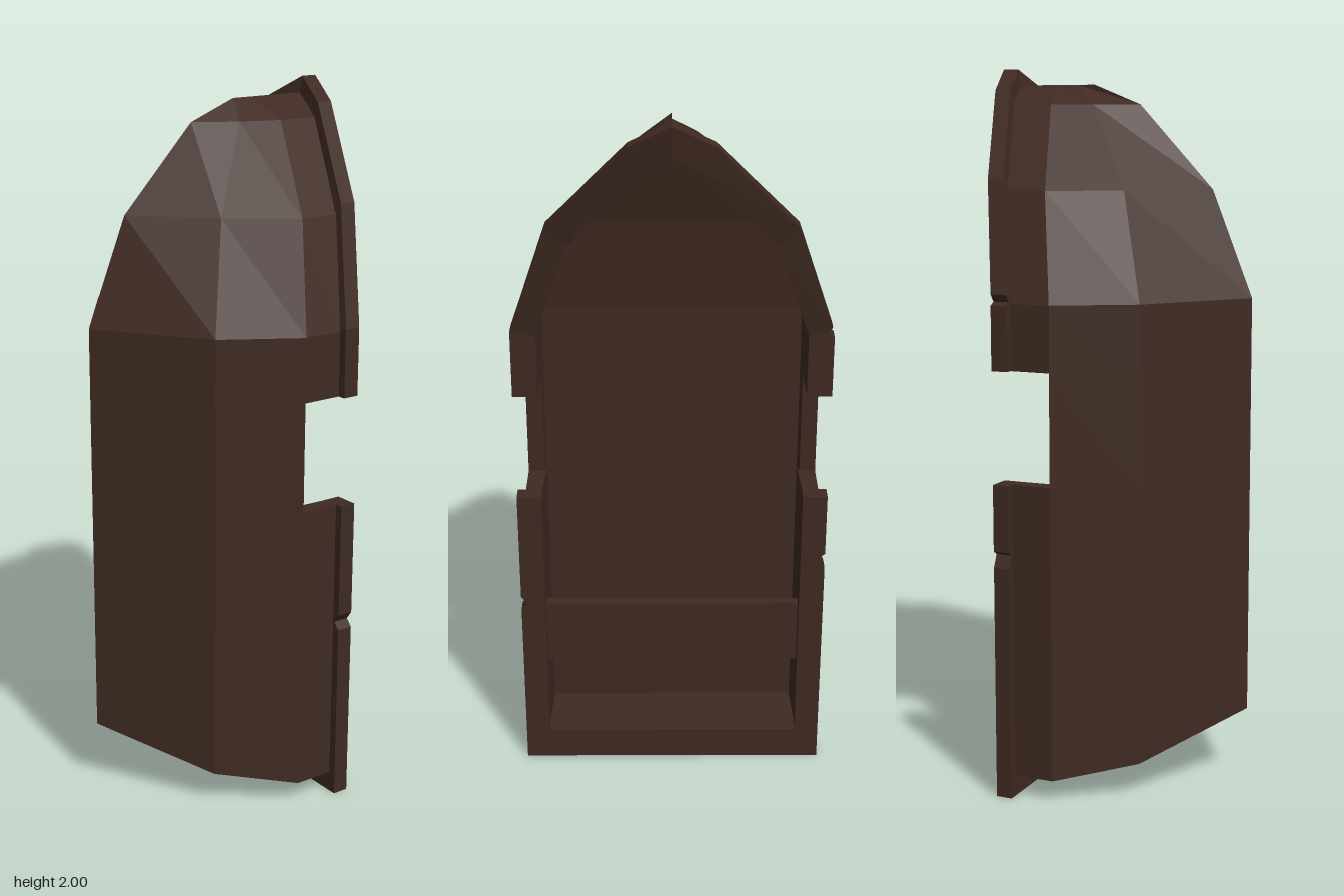
import * as THREE from 'three';

const wood = new THREE.MeshStandardMaterial({ color: 0x3f2a22, flatShading: true, side: THREE.DoubleSide });

// Collects quads (or degenerate quads) into a flat-shaded mesh
function quadMesh(name, quads) {
  const pos = [];
  for (const [a, b, c, d] of quads) pos.push(...a, ...b, ...c, ...a, ...c, ...d);
  const g = new THREE.BufferGeometry();
  g.setAttribute('position', new THREE.Float32BufferAttribute(pos, 3));
  g.computeVertexNormals();
  const m = new THREE.Mesh(g, wood);
  m.name = name;
  return m;
}

// Joins consecutive closed rings with quads
function loft(rings) {
  const quads = [];
  for (let j = 0; j < rings.length - 1; j++) {
    const r = rings[j], s = rings[j + 1], n = r.length;
    for (let i = 0; i < n; i++) {
      const k = (i + 1) % n;
      quads.push([r[i], s[i], s[k], r[k]]);
    }
  }
  return quads;
}

const mirror = ([x, y, z]) => [-x, y, z];

// Half section: gunwale, side, chine, keel on the outside; inner gunwale, floor edge inside
function section(gun, side, chine, keel, innerGun, floor) {
  return [gun, side, chine, keel, mirror(chine), mirror(side), mirror(gun),
    mirror(innerGun), mirror(floor), floor, innerGun];
}

// Straight part of the hull; gz is the height of the side wall
const straight = (y, gz) => section([0.413, y, gz], [0.413, y, -0.037], [0.29, y, 0.17], [0, y, 0.38],
  [0.368, y, gz], [0.362, y, -0.008]);

function makeHull() {
  const stern = section([0.413, 0.06, -0.16], [0.413, 0.06, -0.037], [0.29, 0.1, 0.17], [0, 0.2, 0.38],
    [0.368, 0.095, -0.16], [0.362, 0.095, -0.008]);
  const rings = [
    stern,
    // rowing notches cut in both side walls
    straight(0.885, -0.16), straight(0.885, -0.038),
    straight(1.195, -0.038), straight(1.195, -0.16),
    straight(1.375, -0.16),
    // bow
    section([0.315, 1.67, -0.22], [0.315, 1.67, -0.095], [0.19, 1.67, 0.08], [0, 1.67, 0.262],
      [0.275, 1.64, -0.22], [0.268, 1.64, -0.04]),
    section([0.105, 1.9, -0.31], [0.105, 1.9, -0.18], [0.065, 1.9, -0.07], [0, 1.9, 0.045],
      [0.085, 1.865, -0.305], [0.08, 1.865, -0.1]),
    section([0, 1.955, -0.338], [0, 1.955, -0.21], [0, 1.955, -0.15], [0, 1.955, -0.095],
      [0, 1.915, -0.333], [0, 1.915, -0.17]),
  ];
  const quads = loft(rings);
  // transom, outside and inside
  for (let i = 0; i < 3; i++) quads.push([stern[i], stern[i + 1], stern[5 - i], stern[6 - i]]);
  quads.push([stern[10], stern[7], stern[8], stern[9]]);
  return quadMesh('hull', quads);
}

// Rim strip from points [outerX, outerY, outerZ, innerX, innerY, innerZ]
function makeRim(name, pts) {
  const rings = pts.map(([ox, oy, oz, ix, iy, iz]) =>
    [[ox, oy, oz], [ox, oy, oz - 0.046], [ix, iy, iz - 0.046], [ix, iy, iz]]);
  const quads = loft(rings);
  quads.push(rings[0], [...rings[rings.length - 1]].reverse());
  return quadMesh(name, quads);
}

export function createModel() {
  const boat = new THREE.Group();
  boat.name = 'boat';
  boat.add(makeHull());

  // rim around the stern, with a small chip on each side
  const z = -0.152, w = 0.436;
  const at = (x, y) => [x, y, z, Math.sign(x) * 0.367, y, z];
  boat.add(makeRim('sternRim', [
    at(w, 0.885), at(w, 0.56), at(0.418, 0.535), at(w, 0.515),
    [w, 0, z, 0.367, 0.095, z], [-w, 0, z, -0.367, 0.095, z],
    at(-w, 0.655), at(-0.42, 0.69), at(-w, 0.7), at(-w, 0.885),
  ]));

  // rim around the bow, sweeping back towards the tip
  const bowSide = [[0.33, 1.7, -0.213, 0.275, 1.645, -0.207], [0.11, 1.94, -0.305, 0.085, 1.868, -0.294]];
  const flip = ([ox, oy, oz, ix, iy, iz]) => [-ox, oy, oz, -ix, iy, iz];
  boat.add(makeRim('bowRim', [
    at(-w, 1.195), at(-w, 1.37), [-0.42, 1.38, z, -0.367, 1.372, z], [-0.43, 1.4, -0.155, -0.366, 1.376, z],
    ...bowSide.map(flip),
    [0, 2, -0.336, 0, 1.92, -0.322],
    ...[...bowSide].reverse(),
    [w, 1.385, z, 0.367, 1.375, z], at(w, 1.195),
  ]));

  // bench board across the stern
  const bench = new THREE.Mesh(new THREE.BoxGeometry(0.735, 0.19, 0.03), wood);
  bench.name = 'bench';
  bench.position.set(0, 0.415, -0.14);
  boat.add(bench);

  return boat;
}
